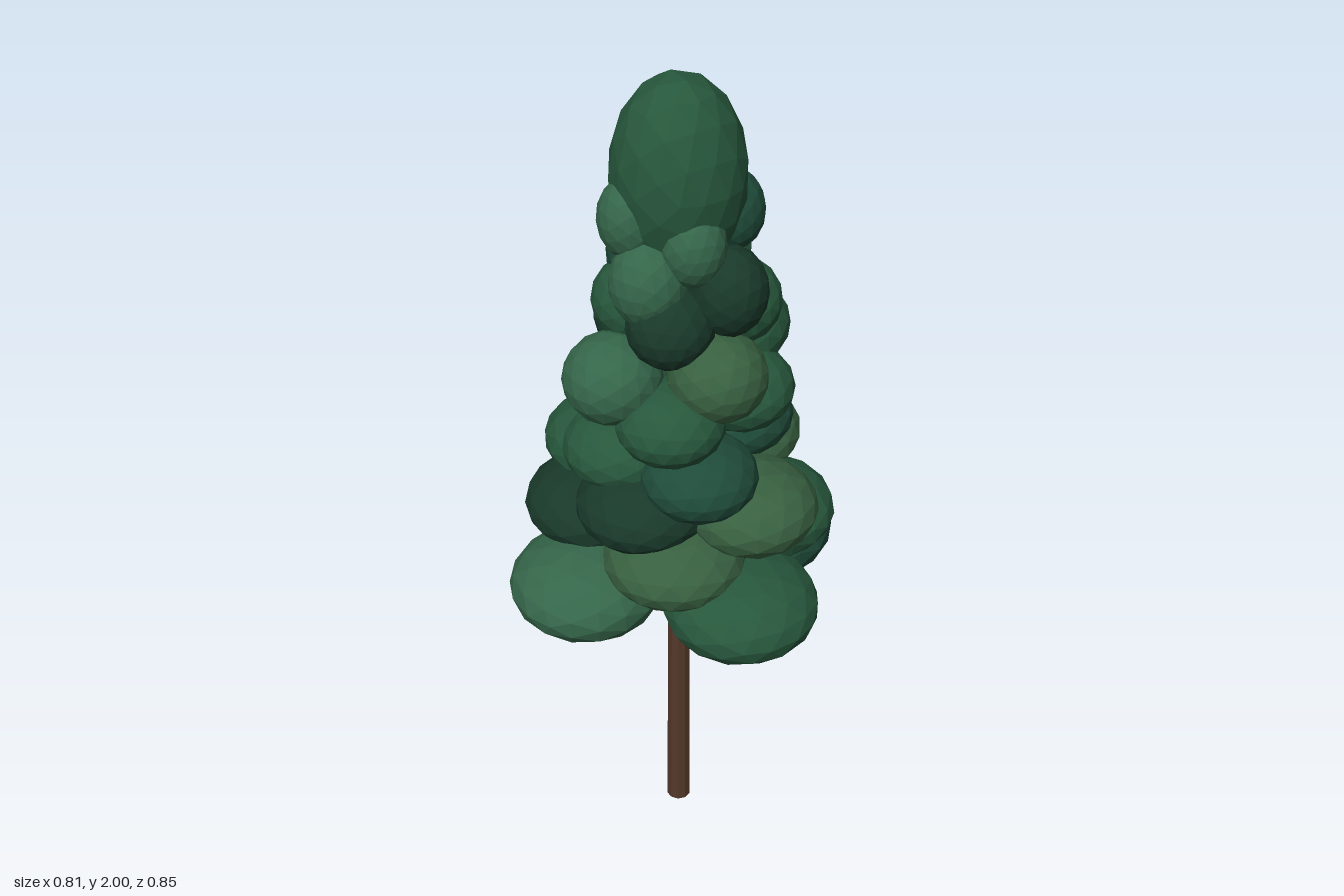
import * as THREE from 'three';

const CENTER_X = 0.012;
const COLORS = {
  light: 0x35664a, olive: 0x386040, mid: 0x27573c, teal: 0x1f4b3a, dark: 0x19392a, bark: 0x54382a,
};

// Each tier: lobe half-width, lobe half-height, then four lobes [x, y, z, color] going round the trunk
const TIERS = [
  { r: 0.175, h: 0.105, lobes: [[0.235, 0.80, 0, 'teal'], [0.012, 0.84, 0.255, 'mid'], [-0.235, 0.83, 0, 'light'], [0.015, 0.81, -0.255, 'dark']] },
  { r: 0.16, h: 0.095, lobes: [[0.18, 0.94, 0.10, 'mid'], [-0.09, 0.94, 0.14, 'olive'], [-0.14, 0.95, -0.12, 'dark'], [0.12, 0.94, -0.15, 'mid']] },
  { r: 0.15, h: 0.095, lobes: [[0.218, 1.04, -0.075, 'olive'], [0.08, 1.04, 0.185, 'olive'], [-0.12, 1.05, 0.06, 'dark'], [-0.055, 1.05, -0.195, 'mid']] },
  { r: 0.13, h: 0.09, lobes: [[0.155, 1.16, 0.01, 'teal'], [-0.03, 1.14, 0.145, 'teal'], [-0.12, 1.15, -0.03, 'mid'], [0.07, 1.175, -0.19, 'olive']] },
  { r: 0.12, h: 0.09, lobes: [[0.11, 1.29, 0.09, 'mid'], [-0.08, 1.28, 0.11, 'mid'], [-0.09, 1.28, -0.09, 'mid'], [0.10, 1.28, -0.10, 'teal']] },
  { r: 0.108, h: 0.10, lobes: [[0.17, 1.385, 0, 'mid'], [0.02, 1.375, 0.137, 'olive'], [-0.158, 1.36, 0.005, 'light'], [0.01, 1.385, -0.15, 'dark']] },
  { r: 0.095, h: 0.095, lobes: [[0.12, 1.49, 0.06, 'mid'], [-0.055, 1.49, 0.07, 'dark'], [-0.06, 1.49, -0.06, 'mid'], [0.08, 1.49, -0.095, 'mid']] },
  { r: 0.083, h: 0.10, lobes: [[0.122, 1.58, -0.04, 'light'], [0.058, 1.56, 0.117, 'dark'], [-0.086, 1.585, 0.035, 'light'], [-0.02, 1.58, -0.085, 'teal']] },
  { r: 0.07, h: 0.09, lobes: [[0.12, 1.69, 0.03, 'teal'], [-0.01, 1.67, 0.085, 'light'], [-0.093, 1.71, -0.02, 'light'], [0.03, 1.70, -0.083, 'mid']] },
];

function material(name) {
  return new THREE.MeshStandardMaterial({ color: COLORS[name], flatShading: true });
}

export function createModel() {
  const tree = new THREE.Group();
  tree.name = 'conifer';

  // Slender trunk running up inside the foliage
  const trunk = new THREE.Mesh(new THREE.CylinderGeometry(0.02, 0.03, 1.7, 10), material('bark'));
  trunk.name = 'trunk';
  trunk.position.set(CENTER_X, 0.85, 0);
  tree.add(trunk);

  // Faceted, squashed lobes stacked in twisting tiers
  const lobeGeometry = new THREE.IcosahedronGeometry(1, 2);
  const addLobe = (parent, name, x, y, z, r, h, color) => {
    const lobe = new THREE.Mesh(lobeGeometry, material(color));
    lobe.name = name;
    lobe.position.set(x, y, z);
    lobe.scale.set(r, h, r);
    lobe.rotation.y = -Math.atan2(z, x - CENTER_X);
    parent.add(lobe);
  };

  TIERS.forEach(({ r, h, lobes }, i) => {
    const tier = new THREE.Group();
    tier.name = `foliageTier${i + 1}`;
    lobes.forEach(([x, y, z, color], j) => addLobe(tier, `lobe${j + 1}`, x, y, z, r, h, color));
    tree.add(tier);
  });

  // Tall rounded crown
  addLobe(tree, 'crown', CENTER_X, 1.785, -0.005, 0.143, 0.217, 'mid');

  return tree;
}
